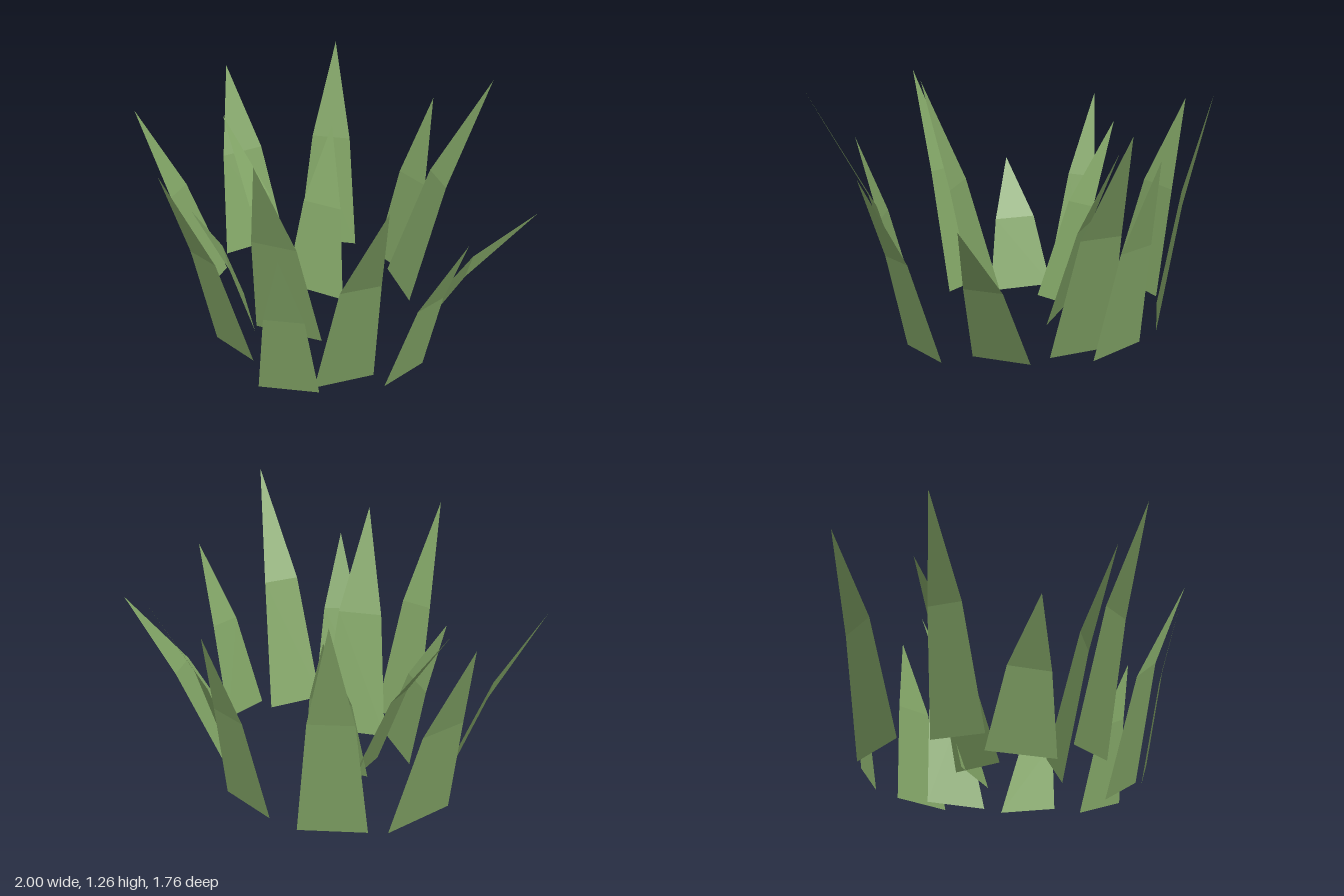
import * as THREE from 'three';

// Each blade: root corner A (x, z), root corner B (x, z), tip (x, y, z), lean of the fold
const BLADES = [
  // front
  [-0.23, 0.50, 0.04, 0.51, -0.11, 1.17, 0.88, 0.44],
  [0.19, 0.63, 0.44, 0.47, 0.45, 0.92, 0.75, 0.47],
  [0.40, 0.46, 0.56, 0.20, 0.89, 1.26, 0.59, 0.40],
  [-0.14, 0.30, 0.20, 0.17, 0.15, 1.18, 0.57, 0.46],
  [-0.39, 0.14, -0.11, 0.34, -0.40, 0.68, 0.46, 0.41],
  // sides
  [-0.63, 0.03, -0.56, 0.27, -1.00, 0.97, 0.28, 0.46],
  [-0.60, -0.42, -0.73, -0.07, -0.95, 1.03, -0.35, 0.44],
  [0.69, -0.03, 0.65, 0.23, 0.99, 0.93, 0.15, 0.43],
  [0.45, -0.37, 0.55, -0.10, 1.00, 0.82, -0.43, 0.46],
  // middle
  [-0.22, -0.15, -0.22, 0.10, -0.69, 0.91, -0.06, 0.42],
  [0.06, -0.17, -0.27, -0.08, -0.22, 0.88, -0.40, 0.44],
  // back
  [-0.23, -0.64, -0.52, -0.47, -0.49, 1.17, -0.75, 0.44],
  [-0.07, -0.64, 0.24, -0.58, 0.12, 0.99, -0.83, 0.44],
  [0.07, -0.56, 0.34, -0.40, 0.44, 1.17, -0.88, 0.42],
];

const FOLD_HEIGHT = 0.55; // share of the blade's height
const FOLD_WIDTH = 0.635; // share of the root width

// A flat tapering lower part, folded once, then a pointed upper part
function bladeGeometry([ax, az, bx, bz, tx, ty, tz, lean]) {
  const a = new THREE.Vector3(ax, 0, az);
  const b = new THREE.Vector3(bx, 0, bz);
  const tip = new THREE.Vector3(tx, ty, tz);
  const root = a.clone().add(b).multiplyScalar(0.5);
  const half = b.clone().sub(a).multiplyScalar(0.5 * FOLD_WIDTH);
  const fold = root.clone().lerp(tip, lean).setY(ty * FOLD_HEIGHT);
  const c = fold.clone().sub(half);
  const d = fold.clone().add(half);
  const geometry = new THREE.BufferGeometry().setFromPoints([a, b, d, a, d, c, c, d, tip]);
  geometry.computeVertexNormals();
  return geometry;
}

export function createModel() {
  const group = new THREE.Group();
  group.name = 'grassTuft';
  const leafGreen = new THREE.MeshStandardMaterial({
    color: 0x82a566, side: THREE.DoubleSide, flatShading: true,
  });
  leafGreen.name = 'leafGreen';

  BLADES.forEach((blade, i) => {
    const mesh = new THREE.Mesh(bladeGeometry(blade), leafGreen);
    mesh.name = `grassBlade${i + 1}`;
    group.add(mesh);
  });
  return group;
}
